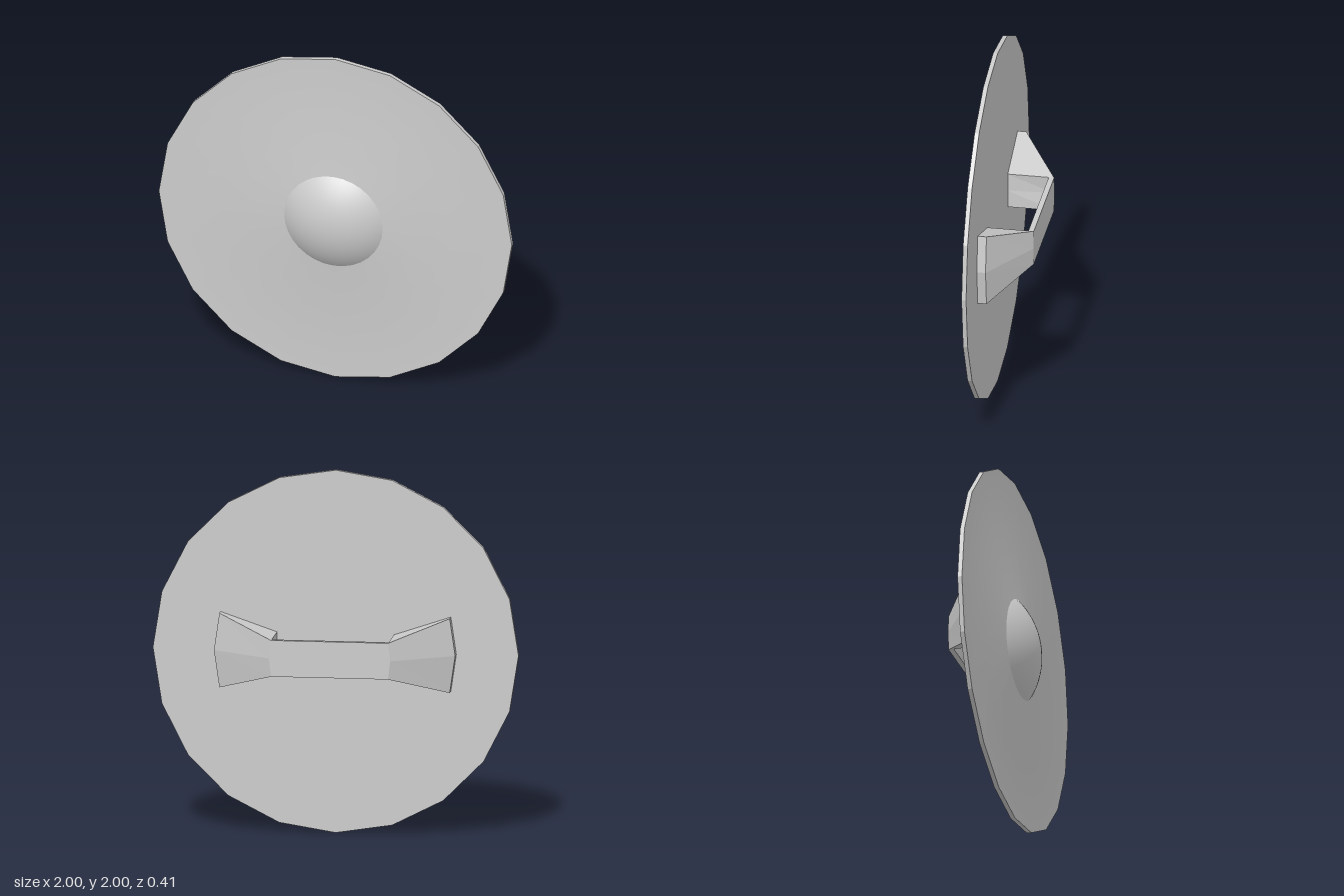
import * as THREE from 'three';

const SIDES = 20;
const BACK_Z = 0.045, FRONT_Z = 0.07;

// Extrude an (x, z) profile upward in two steps, then taper it in height
// and push its outer edges out at mid height to give a faceted ridge.
function handlePart(profile) {
  const shape = new THREE.Shape(profile.map(([x, z]) => new THREE.Vector2(x, -z)));
  const geo = new THREE.ExtrudeGeometry(shape, { depth: 2, steps: 2, bevelEnabled: false });
  geo.rotateX(-Math.PI / 2).translate(0, -1, 0);
  const pos = geo.attributes.position;
  for (let i = 0; i < pos.count; i++) {
    const x = pos.getX(i), s = pos.getY(i), z = pos.getZ(i);
    const outer = Math.abs(x) > 0.5;
    const bulge = outer ? 0.03 : z < -0.2 ? 0.012 : 0;
    pos.setX(i, x + Math.sign(x) * bulge * (1 - Math.abs(s)));
    pos.setY(i, s * (outer ? 0.205 : 0.1));
  }
  geo.computeVertexNormals();
  return geo;
}

export function createModel() {
  const model = new THREE.Group();
  model.name = 'shield';
  const smooth = new THREE.MeshStandardMaterial({ color: 0xcccccc });
  const flat = new THREE.MeshStandardMaterial({ color: 0xcccccc, flatShading: true });

  const add = (name, geo, material, parent) => {
    const mesh = new THREE.Mesh(geo, material);
    mesh.name = name;
    parent.add(mesh);
    return mesh;
  };

  const body = new THREE.Group();
  body.name = 'body';
  body.position.y = 1;
  model.add(body);

  // Front face: flat outer ring rising to a shallow cone
  const profile = [[1, FRONT_Z], [0.66, FRONT_Z], [0.26, 0.107]]
    .map(([r, z]) => new THREE.Vector2(r, z));
  add('frontFace', new THREE.LatheGeometry(profile, SIDES).rotateX(Math.PI / 2), smooth, body);

  // Rim and flat back
  const rim = new THREE.CylinderGeometry(1, 1, FRONT_Z - BACK_Z, SIDES, 1, true);
  rim.rotateX(Math.PI / 2).translate(0, 0, (FRONT_Z + BACK_Z) / 2);
  add('rim', rim, flat, body);
  const back = new THREE.CircleGeometry(1, SIDES).rotateY(Math.PI).translate(0, 0, BACK_Z);
  add('backFace', back, flat, body);

  // Domed boss
  const R = 0.44;
  const boss = new THREE.SphereGeometry(R, 32, 10, 0, Math.PI * 2, 0, 0.69);
  boss.rotateX(Math.PI / 2).translate(0, 0, 0.205 - R);
  add('boss', boss, smooth, body);

  // Handle: grip bar between two flared legs
  const handle = new THREE.Group();
  handle.name = 'handle';
  body.add(handle);
  add('gripBar', handlePart([[-0.32, -0.18], [0.32, -0.18], [0.32, -0.21], [-0.32, -0.21]]), flat, handle);
  const leg = handlePart([[0.32, 0.05], [0.63, 0.05], [0.63, -0.003], [0.32, -0.21]]);
  add('leftLeg', leg, flat, handle);
  add('rightLeg', leg, flat, handle).rotation.z = Math.PI;

  return model;
}
